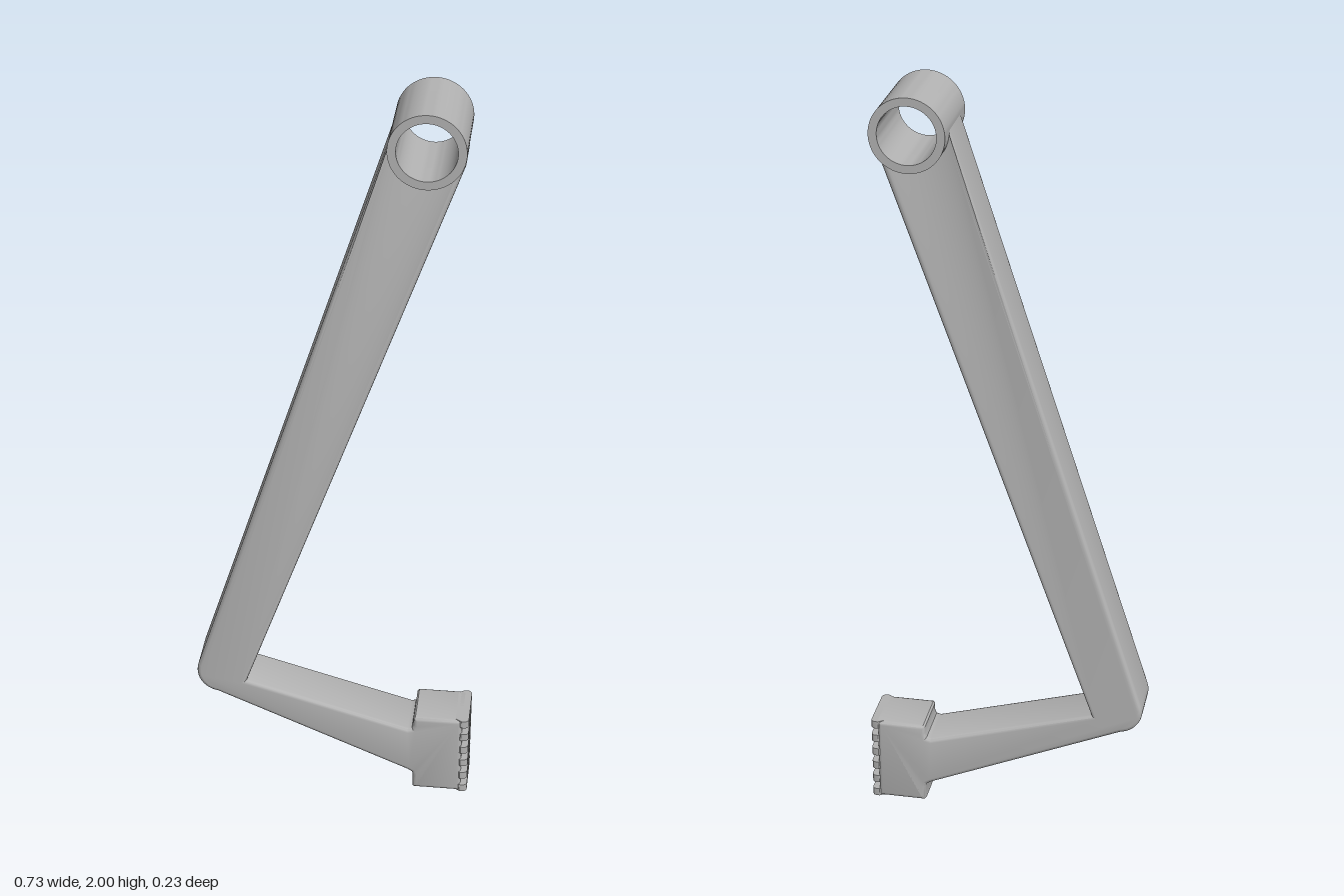
import * as THREE from 'three';
import { toCreasedNormals } from 'three/addons/utils/BufferGeometryUtils.js';

const HALF_DEPTH = 0.071;
const FILLET = 0.011;
const HUB = { x: 0.225, y: 1.906, outer: 0.094, inner: 0.073, half: 0.117 };

// Points along an arc, angles in degrees
function arc(cx, cy, r, from, to, steps) {
  return Array.from({ length: steps + 1 }, (_, i) => {
    const a = THREE.MathUtils.degToRad(from + ((to - from) * i) / steps);
    return new THREE.Vector2(cx + r * Math.cos(a), cy + r * Math.sin(a));
  });
}

const pts = (...list) => list.map(([x, y]) => new THREE.Vector2(x, y));

export function createModel() {
  const group = new THREE.Group();
  const metal = new THREE.MeshStandardMaterial({ color: 0xb3b3b3 });
  const add = (name, geometry) => {
    const mesh = new THREE.Mesh(toCreasedNormals(geometry, 0.6), metal);
    mesh.name = name;
    group.add(mesh);
    return mesh;
  };

  // Long arm, rounded elbow, tapering foot arm and pad block with filleted edges
  const outline = new THREE.Shape([
    ...pts([0.136, 1.925]),
    ...arc(-0.305, 0.342, 0.064, 162, 262, 10),
    ...pts([0.203, 0.058], [0.214, 0.051], [0.217, 0.042], [0.217, 0.004], [0.221, 0]),
    ...pts([0.348, 0], [0.348, 0.236], [0.222, 0.236], [0.217, 0.231]),
    ...pts([0.217, 0.21], [0.213, 0.199], [0.202, 0.196], [-0.235, 0.32], [0.314, 1.855]),
    ...arc(HUB.x, HUB.y, 0.08, -25, -190, 16),
  ]);
  const arm = new THREE.ExtrudeGeometry(outline, {
    depth: 2 * (HALF_DEPTH - FILLET),
    bevelEnabled: true,
    bevelThickness: FILLET,
    bevelSize: FILLET,
    bevelOffset: -FILLET,
    bevelSegments: 3,
  });
  arm.translate(0, 0, -(HALF_DEPTH - FILLET));
  add('bentArm', arm);

  // Hollow pivot tube
  const ring = pts(
    [HUB.outer, -HUB.half], [HUB.outer, HUB.half],
    [HUB.inner, HUB.half], [HUB.inner, -HUB.half], [HUB.outer, -HUB.half]
  );
  const tube = add('pivotTube', new THREE.LatheGeometry(ring, 64));
  tube.rotation.x = Math.PI / 2;
  tube.position.set(HUB.x, HUB.y, 0);

  // Six ridges across the pad face, rounded at their ends
  const pitch = 0.236 / 11;
  const r = 0.012;
  const plan = new THREE.Shape([
    ...pts([0.33, -HALF_DEPTH + FILLET]),
    ...pts([0.346, -HALF_DEPTH]),
    ...arc(0.366 - r, -HALF_DEPTH + r, r, -90, 0, 4),
    ...arc(0.366 - r, HALF_DEPTH - r, r, 0, 90, 4),
    ...pts([0.346, HALF_DEPTH]),
    ...pts([0.33, HALF_DEPTH - FILLET]),
  ]);
  for (let i = 0; i < 6; i++) {
    const ridge = new THREE.ExtrudeGeometry(plan, { depth: pitch, bevelEnabled: false });
    ridge.rotateX(-Math.PI / 2);
    add('gripRidge' + (i + 1), ridge).position.y = i * 2 * pitch;
  }

  return group;
}
